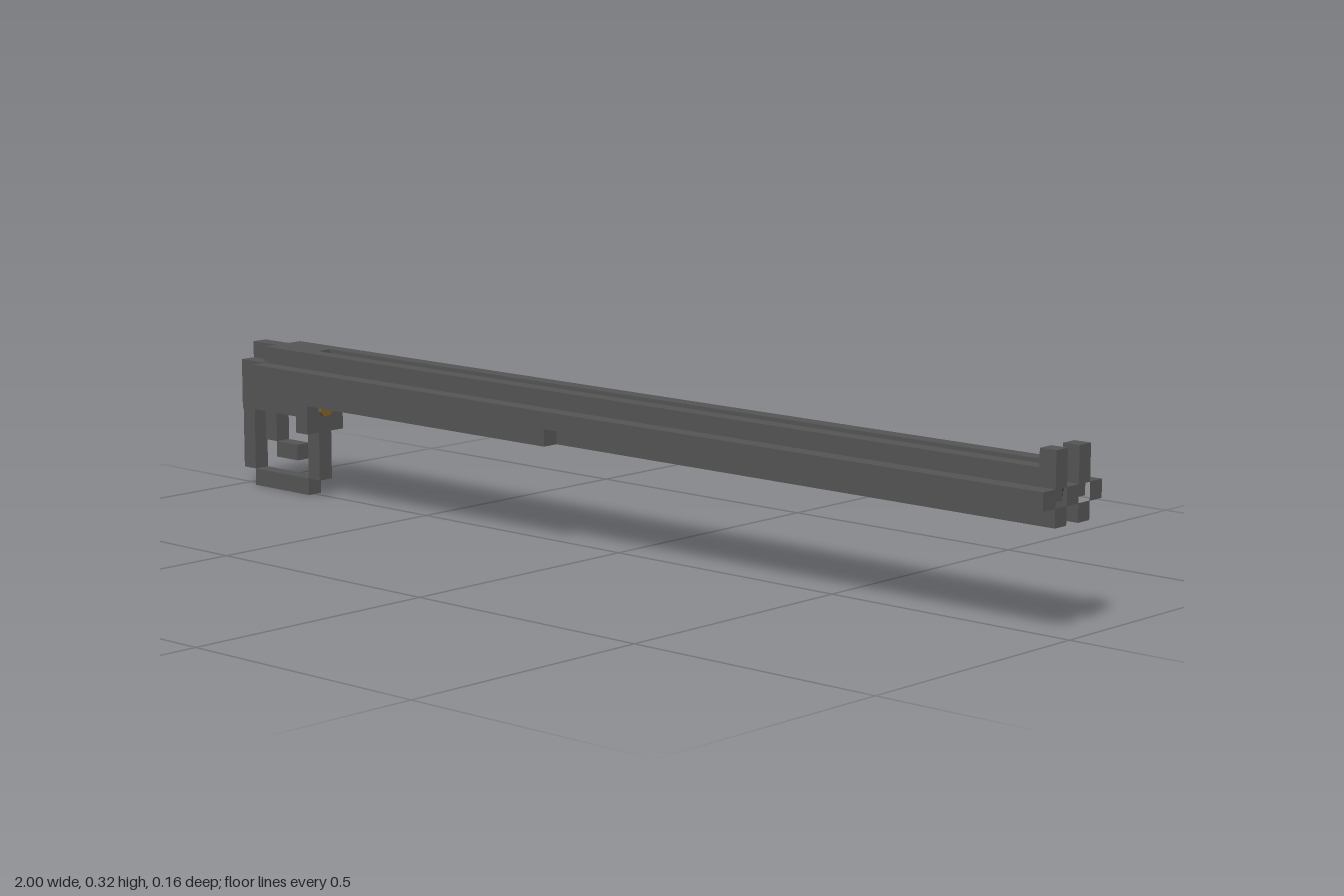
import * as THREE from 'three';

export function createModel() {
  const group = new THREE.Group();
  const mat = (name, color) => {
    const m = new THREE.MeshStandardMaterial({ color });
    m.name = name;
    return m;
  };
  const steel = mat('grey steel', 0x555555);
  const black = mat('bore black', 0x0b0b0b);
  const brass = mat('brown insert', 0x80602e);

  const add = (name, geometry, material) => {
    const mesh = new THREE.Mesh(geometry, material);
    mesh.name = name;
    group.add(mesh);
  };

  // Box from its limits
  const box = (name, x0, x1, y0, y1, z0, z1, material = steel) => {
    const g = new THREE.BoxGeometry(x1 - x0, y1 - y0, z1 - z0);
    g.translate((x0 + x1) / 2, (y0 + y1) / 2, (z0 + z1) / 2);
    add(name, g, material);
  };

  // Half outline [z, y] mirrored across the centre and extruded along x
  const section = (name, half, x0, x1, material = steel, bores = false) => {
    const mirrored = half.map(([z, y]) => [-z, y]).reverse();
    const shape = new THREE.Shape([...half, ...mirrored].map(([z, y]) => new THREE.Vector2(z, y)));
    if (bores) {
      for (const [a, b] of [[0.016, 0.047], [-0.047, -0.016]]) {
        shape.holes.push(new THREE.Path([
          new THREE.Vector2(a, 0.2245), new THREE.Vector2(a, 0.2555),
          new THREE.Vector2(b, 0.2555), new THREE.Vector2(b, 0.2245),
        ]));
      }
    }
    const g = new THREE.ExtrudeGeometry(shape, { depth: x1 - x0, bevelEnabled: false });
    g.rotateY(Math.PI / 2).translate(x0, 0, 0);
    add(name, g, material);
  };

  const c = 0.016, m = 0.047, w = 0.08; // centre, middle and outer half widths

  // Twin barrels, with an open channel above and below the rib
  const channelTop = [[c, 0.256], [c, 0.288], [m, 0.288], [m, 0.256], [w, 0.256]];
  const barrel = [...channelTop, [w, 0.224], [m, 0.224], [m, 0.192], [c, 0.192], [c, 0.224]];
  section('barrels', barrel, -0.11, 0.967);
  section('muzzle', barrel, 0.967, 1, steel, true);
  section('foreStock', [...channelTop, [w, 0.192], [c, 0.192], [c, 0.224]], -0.78, -0.11);

  // Receiver steps in towards the back
  section('receiver', [[m, 0.288], [m, 0.256], [w, 0.256], [w, 0.192], [m, 0.192], [m, 0.16]], -0.9, -0.78);
  section('receiverBack', [[c, 0.288], [c, 0.256], [m, 0.256], [m, 0.16]], -0.967, -0.9);

  // Bores and sights on both barrels
  for (const [z0, z1] of [[c, m], [-m, -c]]) {
    box('bore', 0.967, 0.97, 0.2245, 0.2555, z0, z1, black);
    box('frontSight', 0.967, 1, 0.288, 0.32, z0, z1);
  }

  // Square grip frame
  box('frameBlock', -0.812, -0.78, 0.128, 0.16, -m, m);
  box('frameFront', -0.812, -0.78, 0.033, 0.128, -c, c);
  box('frameBottom', -0.967, -0.812, 0, 0.033, -c, c);
  box('frameBack', -1, -0.967, 0.033, 0.16, -c, c);

  // Trigger
  box('triggerStem', -0.935, -0.903, 0.096, 0.16, -c, c);
  box('triggerFoot', -0.903, -0.843, 0.065, 0.096, -c, c);

  // Insert at the end of the lower channel
  section('insert', [[c, 0.224], [c, 0.168], [0.009, 0.16]], -0.78, -0.774, brass);

  return group;
}
